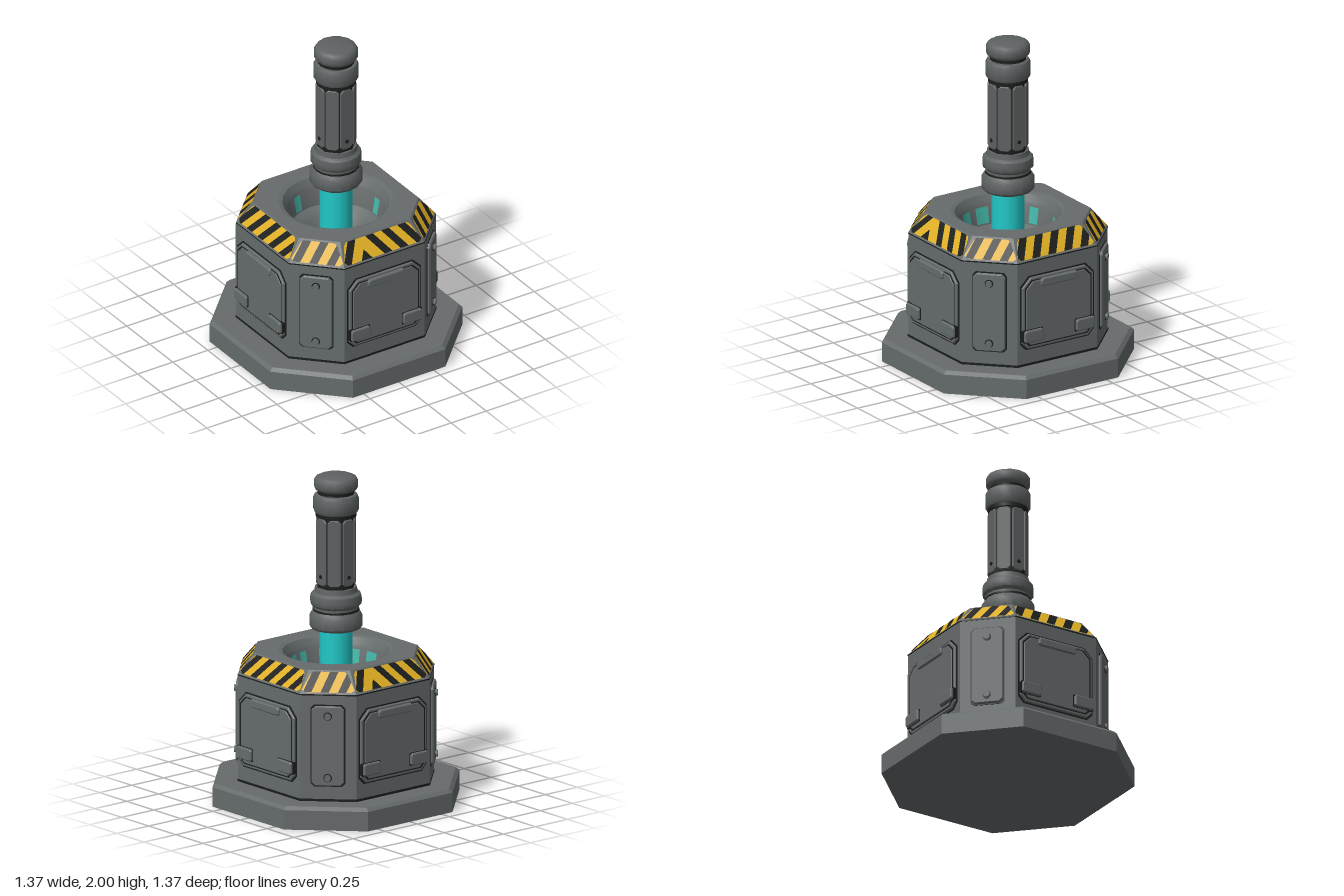
import * as THREE from 'three';
import { toCreasedNormals } from 'three/addons/utils/BufferGeometryUtils.js';

const mat = (name, color) => Object.assign(new THREE.MeshStandardMaterial({ color }), { name });

export function createModel() {
  const grey = mat('metalGrey', 0x666b6c);
  const handleGrey = mat('handleGrey', 0x5e6262);
  const dark = mat('darkSeam', 0x1c1d1d);
  const yellow = mat('warningYellow', 0xdeae24);
  const teal = mat('rodTeal', 0x22c8c8);
  const glow = mat('wellTeal', 0x43b5a6);

  const model = new THREE.Group();
  const add = (parent, name, geo, material, x = 0, y = 0, z = 0) => {
    const m = new THREE.Mesh(geo, material);
    m.name = name;
    m.position.set(x, y, z);
    parent.add(m);
    return m;
  };
  const group = (name, angle = 0, parent = model) => {
    const g = new THREE.Group();
    g.name = name;
    g.rotation.y = angle;
    parent.add(g);
    return g;
  };
  const vecs = pts => pts.map(p => new THREE.Vector2(...p));

  // Eight-sided cross-section: a = half width, c = half length of the straight side
  const octagon = (a, c) => [[c, a], [a, c], [a, -c], [c, -a], [-c, -a], [-a, -c], [-a, c], [-c, a]];

  // Flat-sided solid through octagon rings [y, a, c]
  const octSolid = (rings, capTop) => {
    const loops = rings.map(([y, a, c]) => octagon(a, c).map(([x, z]) => [x, y, z]));
    const pos = [];
    for (let r = 0; r < loops.length - 1; r++) {
      for (let i = 0; i < 8; i++) {
        const j = (i + 1) % 8, lo = loops[r], hi = loops[r + 1];
        pos.push(...lo[i], ...lo[j], ...hi[j], ...lo[i], ...hi[j], ...hi[i]);
      }
    }
    const top = loops[loops.length - 1], bottom = loops[0];
    for (let i = 1; i < 7; i++) {
      pos.push(...bottom[0], ...bottom[i + 1], ...bottom[i]);
      if (capTop) pos.push(...top[0], ...top[i], ...top[i + 1]);
    }
    const g = new THREE.BufferGeometry();
    g.setAttribute('position', new THREE.Float32BufferAttribute(pos, 3));
    g.computeVertexNormals();
    return g;
  };

  // Plate with cut corners (separate cut for top and bottom), back on z = 0
  const plate = (w, h, depth, cutTop, cutBottom = cutTop, bevel = 0.006) => {
    const x = w / 2 - bevel, y = h / 2 - bevel, t = cutTop, b = cutBottom;
    const shape = new THREE.Shape(vecs([[-x + b, -y], [x - b, -y], [x, -y + b], [x, y - t],
      [x - t, y], [-x + t, y], [-x, y - t], [-x, -y + b]]));
    return new THREE.ExtrudeGeometry(shape, {
      depth: depth - bevel, bevelEnabled: bevel > 0, bevelSize: bevel, bevelThickness: bevel, bevelSegments: 1,
    });
  };
  const lathe = (pts, seg, start = 0, len = Math.PI * 2) =>
    toCreasedNormals(new THREE.LatheGeometry(vecs(pts), seg, start, len), 0.7);

  // Foot and body
  add(model, 'foot', octSolid([[0, 0.685, 0.33], [0.12, 0.685, 0.33], [0.14, 0.665, 0.32]], true), grey);
  add(model, 'body', octSolid([[0.13, 0.525, 0.285], [0.8, 0.525, 0.285], [0.925, 0.425, 0.248]], false), grey);
  add(model, 'footSeam', octSolid([[0.13, 0.528, 0.287], [0.155, 0.528, 0.287]], false), dark);
  add(model, 'shoulderSeam', octSolid([[0.794, 0.527, 0.286], [0.802, 0.527, 0.286]], false), dark);

  // Top deck with a round opening
  const deck = new THREE.Shape(vecs(octagon(0.425, 0.248)));
  deck.holes.push(new THREE.Path().absarc(0, 0, 0.345, 0, Math.PI * 2, true));
  add(model, 'deck', new THREE.ShapeGeometry(deck, 12).rotateX(-Math.PI / 2), grey, 0, 0.925, 0);

  // Stepped well inside the body
  add(model, 'well', lathe([[0.35, 0.925], [0.32, 0.915], [0.3, 0.88], [0.29, 0.86], [0.27, 0.74],
    [0.24, 0.72], [0.215, 0.7], [0.15, 0.55], [0.14, 0.5], [0.001, 0.5]], 24), grey);
  const patch = (name, pts, x, z, width) => {
    const mid = Math.atan2(x, z);
    add(model, name, lathe(pts, 4, mid - width / 2, width), glow);
  };
  [[-0.11, -0.27, 0.22], [0.11, -0.27, 0.2], [-0.285, 0, 0.32], [0.28, 0.02, 0.2], [-0.26, 0.14, 0.3],
    [0.21, 0.18, 0.16], [0.11, 0.26, 0.2], [0.02, 0.28, 0.18], [-0.12, 0.26, 0.2]]
    .forEach(p => patch('upperWellLight', [[0.284, 0.85], [0.266, 0.75]], ...p));
  [[-0.125, -0.155, 0.2], [0.115, -0.155, 0.2], [-0.2, 0.09, 1.5], [0.01, 0.17, 0.2],
    [0.11, 0.15, 0.4], [0.18, 0.04, 0.3]]
    .forEach(p => patch('lowerWellLight', [[0.208, 0.695], [0.152, 0.565]], ...p));

  // Striped sloping shoulder panels
  const clip = (poly, border) => border.reduce((out, a, i) => {
    const b = border[(i + 1) % border.length];
    const side = p => (b[0] - a[0]) * (p[1] - a[1]) - (b[1] - a[1]) * (p[0] - a[0]);
    const next = [];
    out.forEach((p, k) => {
      const q = out[(k + 1) % out.length], sp = side(p), sq = side(q);
      if (sp >= 0) next.push(p);
      if (sp * sq < 0) next.push([0, 1].map(n => p[n] + (q[n] - p[n]) * sp / (sp - sq)));
    });
    return next;
  }, poly);
  const face = pts => new THREE.ShapeGeometry(new THREE.Shape(vecs(pts)));
  const stripePanel = (parent, bottom, top, dist, inward, stripes) => {
    const h = Math.hypot(inward, 0.125), i = 0.012, e = 0.018;
    const right = [[bottom - i - e, i], [bottom - i, i + e], [top - i, h - i - e], [top - i - e, h - i]];
    const border = [...right, ...right.map(([x, y]) => [-x, y]).reverse()];
    const g = group('stripePanel', 0, parent);
    g.position.set(0, 0.8, dist);
    g.rotation.x = -Math.atan2(inward, 0.125);
    add(g, 'yellowPanel', face(border), yellow, 0, 0, 0.003);
    stripes.forEach(([lo, hi, w]) => {
      const cut = clip([[lo - w, 0], [lo + w, 0], [hi + w, h], [hi - w, h]], border);
      if (cut.length > 2) add(g, 'blackStripe', face(cut), dark, 0, 0, 0.005);
    });
    return { g, border };
  };
  const chevron = [[0.04, -0.06, 0.028], [0.155, 0.055, 0.028], [0.27, 0.17, 0.028], [-0.265, -0.17, 0.028]];
  const slanted = [-0.27, -0.155, -0.04, 0.075, 0.19].map(u => [u, u + 0.09, 0.028]);
  const short = [-0.13, -0.025, 0.08].map(u => [u, u + 0.06, 0.025]);

  for (let k = 0; k < 4; k++) {
    // Straight sides: access door with latch bar and two hinges
    const side = group('side', k * Math.PI / 2);
    const door = group('door', 0, side);
    door.position.set(-0.004, 0.475, 0.525);
    add(door, 'doorSeam', plate(0.528, 0.466, 0.004, 0.06, 0.04, 0), dark);
    add(door, 'doorFrame', plate(0.51, 0.45, 0.016, 0.055, 0.035), grey);
    add(door, 'doorSeamInner', plate(0.476, 0.416, 0.018, 0.045, 0.03, 0), dark);
    add(door, 'doorPanel', plate(0.468, 0.408, 0.022, 0.045, 0.03), grey);
    add(door, 'latchBar', plate(0.264, 0.05, 0.036, 0.008), grey, 0, 0.185, 0);
    for (const s of [-1, 1]) {
      add(door, 'hingeSeam', plate(0.142, 0.082, 0.024, 0.006, 0.006, 0), dark, s * 0.185, -0.14, 0);
      add(door, 'hinge', plate(0.132, 0.074, 0.04, 0.006), grey, s * 0.185, -0.14, 0);
    }
    const panel = stripePanel(side, 0.285, 0.248, 0.525, 0.1, k % 2 ? slanted : chevron);
    if (k % 2 === 0) {
      const tip = clip([[-0.165, 0], [-0.075, 0], [-0.12, 0.075]], panel.border);
      add(panel.g, 'blackChevron', face(tip), dark, 0, 0, 0.005);
    }

    // Diagonal sides: narrow bolted plate
    const corner = group('cornerSide', (k + 0.5) * Math.PI / 2);
    const cover = group('cornerCover', 0, corner);
    cover.position.set(0, 0.485, 0.5728);
    add(cover, 'coverSeam', plate(0.208, 0.506, 0.004, 0.02, 0.02, 0), dark);
    add(cover, 'coverPlate', plate(0.194, 0.492, 0.02, 0.018), grey);
    for (const y of [-0.195, 0.185]) {
      const disc = (r, d) => new THREE.CylinderGeometry(r, r, d, 12).rotateX(Math.PI / 2);
      add(cover, 'boltSeam', disc(0.026, 0.004), dark, 0, y, 0.021);
      add(cover, 'bolt', disc(0.02, 0.02), grey, 0, y, 0.026);
    }
    stripePanel(corner, 0.17, 0.125, 0.5728, 0.0968, short);
  }

  // Rod rising out of the well
  add(model, 'rod', new THREE.CylinderGeometry(0.098, 0.098, 0.58, 14), teal, 0, 0.78, 0);

  // Handle: lower collar, panelled grip, upper collar and cap
  const handle = group('handle');
  add(handle, 'lowerCollar', lathe([[0.001, 1.06], [0.148, 1.06], [0.16, 1.075], [0.16, 1.135], [0.145, 1.16],
    [0.138, 1.17], [0.138, 1.195], [0.153, 1.21], [0.156, 1.24], [0.15, 1.27], [0.13, 1.285],
    [0.125, 1.315], [0.001, 1.315]], 16), handleGrey);
  add(handle, 'collarSeam', lathe([[0.139, 1.168], [0.141, 1.172], [0.141, 1.178], [0.139, 1.182]], 16), dark);
  add(handle, 'gripCore', new THREE.CylinderGeometry(0.116, 0.116, 0.46, 8, 1, false, Math.PI / 8).toNonIndexed(), dark, 0, 1.535, 0);
  for (let k = 0; k < 8; k++) {
    const strip = group('gripSide', k * Math.PI / 4, handle);
    add(strip, 'gripPanel', plate(0.082, 0.41, 0.014, 0.014, 0.014, 0.004), handleGrey, 0, 1.54, 0.104);
    if (k % 2 === 0) {
      add(strip, 'gripBolt', new THREE.CylinderGeometry(0.012, 0.012, 0.008, 8).rotateX(Math.PI / 2), dark, 0, 1.39, 0.119);
    }
  }
  add(handle, 'upperSeam', lathe([[0.001, 1.75], [0.122, 1.75], [0.122, 1.79]], 16), dark);
  add(handle, 'upperCollar', lathe([[0.11, 1.77], [0.127, 1.775], [0.137, 1.795], [0.137, 1.865],
    [0.127, 1.885], [0.108, 1.89]], 16), handleGrey);
  add(handle, 'capNeck', lathe([[0.114, 1.88], [0.108, 1.895], [0.114, 1.92]], 16), dark);
  add(handle, 'cap', lathe([[0.105, 1.905], [0.125, 1.918], [0.133, 1.935], [0.133, 1.97], [0.122, 1.99],
    [0.1, 2.0], [0.001, 2.0]], 16), handleGrey);

  return model;
}
